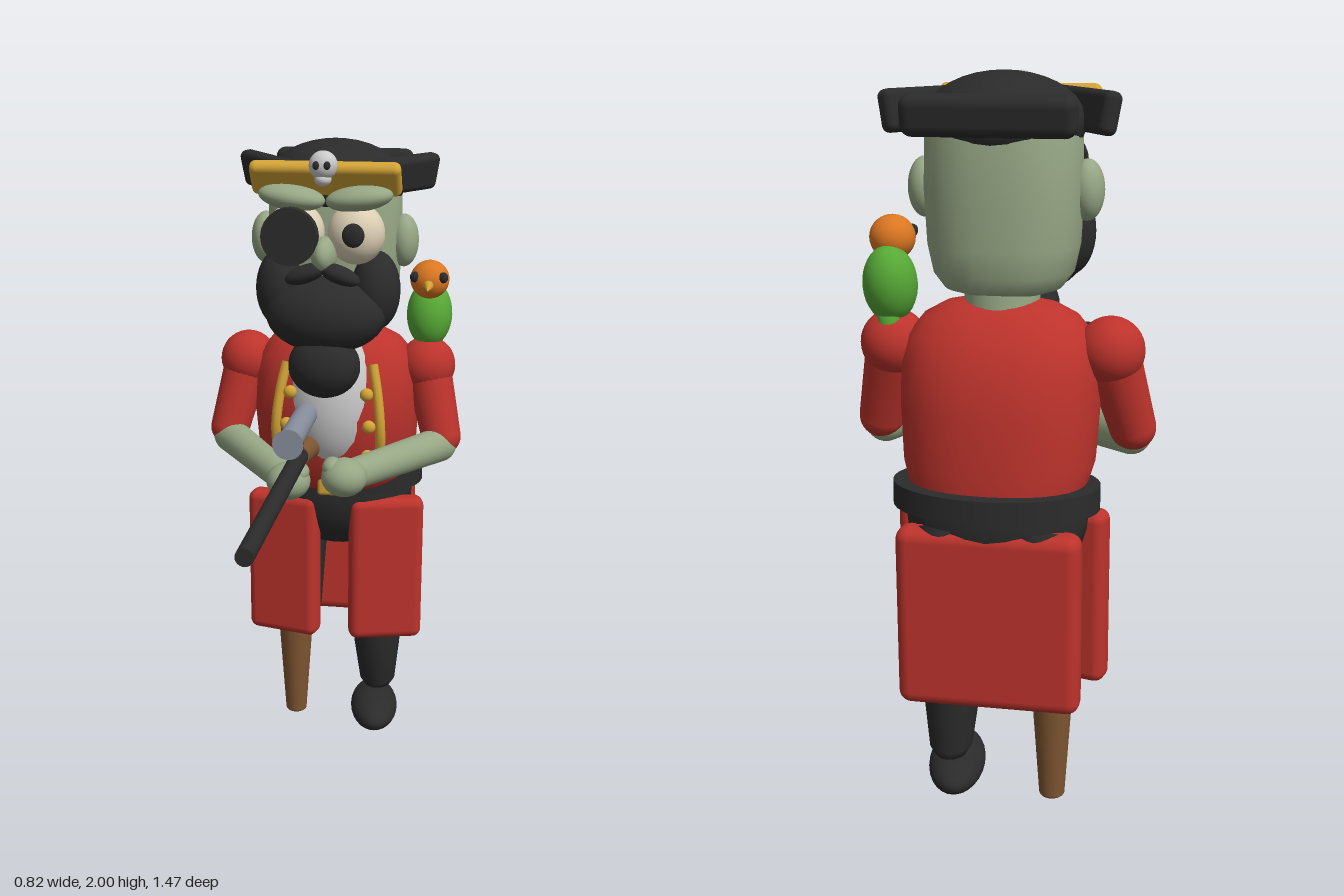
import * as THREE from 'three';
import { RoundedBoxGeometry } from 'three/addons/geometries/RoundedBoxGeometry.js';

const material = (name, color) => {
  const m = new THREE.MeshStandardMaterial({ color });
  m.name = name;
  return m;
};
const V = (p) => new THREE.Vector3(...p);

// Closed body from horizontal superellipse rings: [y, x, z, halfX, halfZ]
function loft(rings, power = 2, n = 32) {
  const pos = [], idx = [];
  rings.forEach(([y, x, z, rx, rz]) => {
    for (let i = 0; i < n; i++) {
      const a = (i / n) * Math.PI * 2, s = Math.sin(a), c = Math.cos(a);
      pos.push(x + rx * Math.sign(s) * Math.abs(s) ** (2 / power), y,
        z + rz * Math.sign(c) * Math.abs(c) ** (2 / power));
    }
  });
  const last = rings.length - 1;
  for (let r = 0; r < last; r++) {
    for (let i = 0; i < n; i++) {
      const a = r * n + i, b = r * n + (i + 1) % n;
      idx.push(a, b, b + n, a, b + n, a + n);
    }
  }
  const low = pos.length / 3, high = low + 1;
  pos.push(rings[0][1], rings[0][0], rings[0][2], rings[last][1], rings[last][0], rings[last][2]);
  for (let i = 0; i < n; i++) {
    const j = (i + 1) % n;
    idx.push(low, j, i, high, last * n + i, last * n + j);
  }
  const g = new THREE.BufferGeometry();
  g.setAttribute('position', new THREE.Float32BufferAttribute(pos, 3));
  g.setIndex(idx);
  g.computeVertexNormals();
  return g;
}

export function createModel() {
  const model = new THREE.Group();
  model.name = 'pirate';
  const black = material('black cloth', 0x2b2b2b);
  const red = material('red coat', 0xbd332c);
  const skin = material('green skin', 0x97a785);
  const gold = material('gold', 0xd3a336);
  const white = material('white shirt', 0xcacaca);
  const cream = material('cream eye', 0xdccfb4);
  const steel = material('steel', 0x878e9c);
  const wood = material('wood', 0x7f5632);
  const plumage = material('parrot green', 0x57a936);
  const orange = material('parrot orange', 0xdb7722);

  const add = (name, geo, mat, p = [0, 0, 0], r = [0, 0, 0]) => {
    const m = new THREE.Mesh(geo, mat);
    m.name = name;
    m.position.set(...p);
    m.rotation.set(...r, 'YXZ');
    model.add(m);
    return m;
  };
  const blob = (name, mat, p, radii, r) =>
    add(name, new THREE.SphereGeometry(1, 28, 18).scale(...radii), mat, p, r);
  const box = (name, mat, p, size, r, bevel = 0.02) =>
    add(name, new RoundedBoxGeometry(...size, 3, bevel), mat, p, r);
  const rod = (name, mat, a, b, ra, rb = ra) => {
    const d = V(b).sub(V(a));
    const m = add(name, new THREE.CylinderGeometry(rb, ra, d.length(), 24), mat,
      V(a).lerp(V(b), 0.5).toArray());
    m.quaternion.setFromUnitVectors(new THREE.Vector3(0, 1, 0), d.normalize());
    return m;
  };
  const limb = (name, mat, a, b, ra, rb) => {
    rod(name, mat, a, b, ra, rb);
    blob(name + 'Start', mat, a, [ra, ra, ra]);
    blob(name + 'End', mat, b, [rb, rb, rb]);
  };

  // Legs, peg and foot
  add('leftLeg', loft([[0.125, 0.14, -0.515, 0.045, 0.052], [0.15, 0.14, -0.512, 0.06, 0.066],
    [0.3, 0.138, -0.498, 0.078, 0.09], [0.42, 0.135, -0.5, 0.085, 0.095],
    [0.65, 0.132, -0.535, 0.086, 0.12], [0.85, 0.125, -0.545, 0.09, 0.14]]), black);
  add('rightLeg', loft([[0.39, -0.145, -0.5, 0.07, 0.075], [0.42, -0.14, -0.5, 0.082, 0.09],
    [0.65, -0.132, -0.535, 0.086, 0.12], [0.85, -0.125, -0.545, 0.09, 0.14]]), black);
  rod('pegLeg', wood, [-0.146, 0.015, -0.495], [-0.146, 0.43, -0.495], 0.036, 0.064);
  blob('pegTip', wood, [-0.146, 0.016, -0.495], [0.036, 0.016, 0.036]);
  blob('leftFoot', black, [0.135, 0.065, -0.46], [0.08, 0.06, 0.16], [0, 0.12, 0]);
  blob('pelvis', black, [0, 0.86, -0.525], [0.245, 0.21, 0.165]);

  // Coat: body, tails, shirt front
  add('coatBody', loft([[0.89, 0, -0.51, 0.21, 0.17], [0.93, 0, -0.5, 0.235, 0.185],
    [1.0, 0, -0.48, 0.256, 0.205], [1.15, 0, -0.462, 0.265, 0.218], [1.26, 0, -0.46, 0.262, 0.195],
    [1.33, 0, -0.455, 0.245, 0.162], [1.38, 0, -0.45, 0.205, 0.125],
    [1.41, 0, -0.448, 0.15, 0.085], [1.425, 0, -0.447, 0.08, 0.04]], 2.3), red);
  for (const s of [-1, 1]) {
    box('frontCoatTail', red, [s * 0.17, 0.6, -0.422], [0.245, 0.5, 0.08], [0, s * 0.24, 0], 0.03);
  }
  box('backCoatTail', red, [0, 0.6, -0.645], [0.49, 0.5, 0.09], [0, 0, 0], 0.035);
  blob('shirtFront', white, [0, 1.2, -0.36], [0.15, 0.235, 0.14]);

  // Gold trim and buttons
  for (const s of [-1, 1]) {
    const path = [[0.135, 1.33, -0.285], [0.153, 1.24, -0.262], [0.165, 1.12, -0.25], [0.155, 0.95, -0.308]];
    const curve = new THREE.CatmullRomCurve3(path.map(([x, y, z]) => new THREE.Vector3(s * x, y, z)));
    add('coatTrim', new THREE.TubeGeometry(curve, 20, 0.016, 8), gold);
    for (const [x, y, z] of [[0.12, 1.24, -0.255], [0.13, 1.14, -0.242], [0.125, 1.04, -0.255]]) {
      blob('button', gold, [s * x, y, z], [0.021, 0.021, 0.018]);
    }
  }

  // Belt and buckle
  add('belt', new THREE.CylinderGeometry(1, 1, 0.065, 40).scale(0.277, 1, 0.197), black,
    [0, 0.915, -0.533], [0.04, 0, 0]);
  box('buckle', gold, [0, 0.915, -0.328], [0.09, 0.07, 0.03], [0, 0, 0], 0.012);

  // Arms
  for (const s of [-1, 1]) {
    const shoulder = [s * 0.29, 1.295, -0.455], elbow = [s * 0.345, 1.075, -0.4];
    const hand = s < 0 ? [-0.1, 1.0, -0.1] : [0.09, 1.065, 0.03];
    blob('shoulder', red, shoulder, [0.09, 0.09, 0.09]);
    limb('sleeve', red, shoulder, elbow, 0.075, 0.063);
    limb('forearm', skin, [s * 0.34, 1.05, -0.385], hand, 0.055, 0.046);
    blob('hand', skin, hand, [0.068, 0.058, 0.068]);
    blob('thumb', skin, [hand[0] - s * 0.035, hand[1] + 0.03, hand[2]], [0.03, 0.03, 0.04]);
  }

  // Long gun with sight tube
  const gx = -0.065;
  rod('gunBarrel', black, [gx, 1.08, -0.12], [gx, 1.08, 0.735], 0.027, 0.025);
  rod('gunStock', wood, [gx, 1.06, -0.27], [gx, 1.08, -0.1], 0.04, 0.03);
  rod('sightTube', steel, [gx, 1.18, -0.22], [gx, 1.18, 0.085], 0.036);
  rod('sightFlare', steel, [gx, 1.18, 0.07], [gx, 1.18, 0.105], 0.036, 0.046);
  rod('sightMount', black, [gx, 1.08, -0.07], [gx, 1.16, -0.07], 0.017);

  // Head and face
  rod('neck', skin, [0, 1.38, -0.44], [0, 1.5, -0.43], 0.1);
  add('head', loft([[1.435, 0, -0.41, 0.11, 0.1], [1.45, 0, -0.408, 0.155, 0.145],
    [1.49, 0, -0.405, 0.185, 0.17], [1.56, 0, -0.404, 0.2, 0.18], [1.7, 0, -0.403, 0.207, 0.183],
    [1.85, 0, -0.403, 0.203, 0.18], [1.9, 0, -0.403, 0.18, 0.16]], 2.3), skin);
  for (const s of [-1, 1]) {
    blob('ear', skin, [s * 0.215, 1.7, -0.385], [0.045, 0.08, 0.058]);
    blob('brow', skin, [s * 0.1, 1.85, -0.185], [0.1, 0.038, 0.06], [0, 0, s * 0.12]);
    blob('eye', cream, [s * 0.09, 1.745, -0.2], [0.086, 0.09, 0.076]);
    blob('sideBeard', black, [s * 0.145, 1.57, -0.245], [0.075, 0.12, 0.085]);
    blob('moustache', black, [s * 0.05, 1.635, -0.13], [0.065, 0.027, 0.035], [0, 0, -s * 0.35]);
  }
  blob('pupil', black, [0.09, 1.75, -0.13], [0.033, 0.035, 0.014]);
  rod('eyePatch', black, [-0.095, 1.745, -0.135], [-0.095, 1.745, -0.1], 0.084);
  blob('nose', skin, [0, 1.685, -0.165], [0.038, 0.055, 0.075]);
  blob('beard', black, [0, 1.5, -0.2], [0.182, 0.115, 0.12]);
  blob('beardTip', black, [0, 1.35, -0.17], [0.11, 0.1, 0.085], [0.15, 0, 0]);

  // Three-cornered hat
  blob('hatCrown', black, [0, 1.87, -0.4], [0.213, 0.13, 0.195]);
  box('hatFrontBrim', gold, [0, 1.905, -0.19], [0.445, 0.115, 0.045], [0.65, 0, 0]);
  box('hatBackBrim', black, [0, 1.9, -0.605], [0.44, 0.105, 0.07], [-0.15, 0, 0], 0.03);
  for (const s of [-1, 1]) {
    box('hatSideBrim', black, [s * 0.2, 1.9, -0.355], [0.05, 0.11, 0.34], [0, -s * 0.57, -s * 0.2]);
    blob('skullSocket', black, [s * 0.016, 1.95, -0.107], [0.01, 0.012, 0.008]);
  }
  blob('skull', white, [0, 1.947, -0.142], [0.042, 0.042, 0.038]);
  blob('skullJaw', white, [0, 1.908, -0.138], [0.025, 0.02, 0.025]);

  // Parrot on the left shoulder
  blob('parrotBody', plumage, [0.292, 1.455, -0.475], [0.072, 0.105, 0.078], [-0.2, 0, 0]);
  blob('parrotTail', plumage, [0.292, 1.37, -0.495], [0.03, 0.06, 0.025], [0.2, 0, 0]);
  blob('parrotHead', orange, [0.293, 1.572, -0.437], [0.061, 0.06, 0.062]);
  const beak = add('parrotBeak', new THREE.ConeGeometry(0.026, 0.06, 16), gold, [0.293, 1.56, -0.372]);
  beak.rotation.x = Math.PI / 2 + 0.3;
  for (const s of [-1, 1]) {
    blob('parrotEye', black, [0.293 + s * 0.044, 1.585, -0.397], [0.015, 0.017, 0.015]);
  }
  return model;
}
